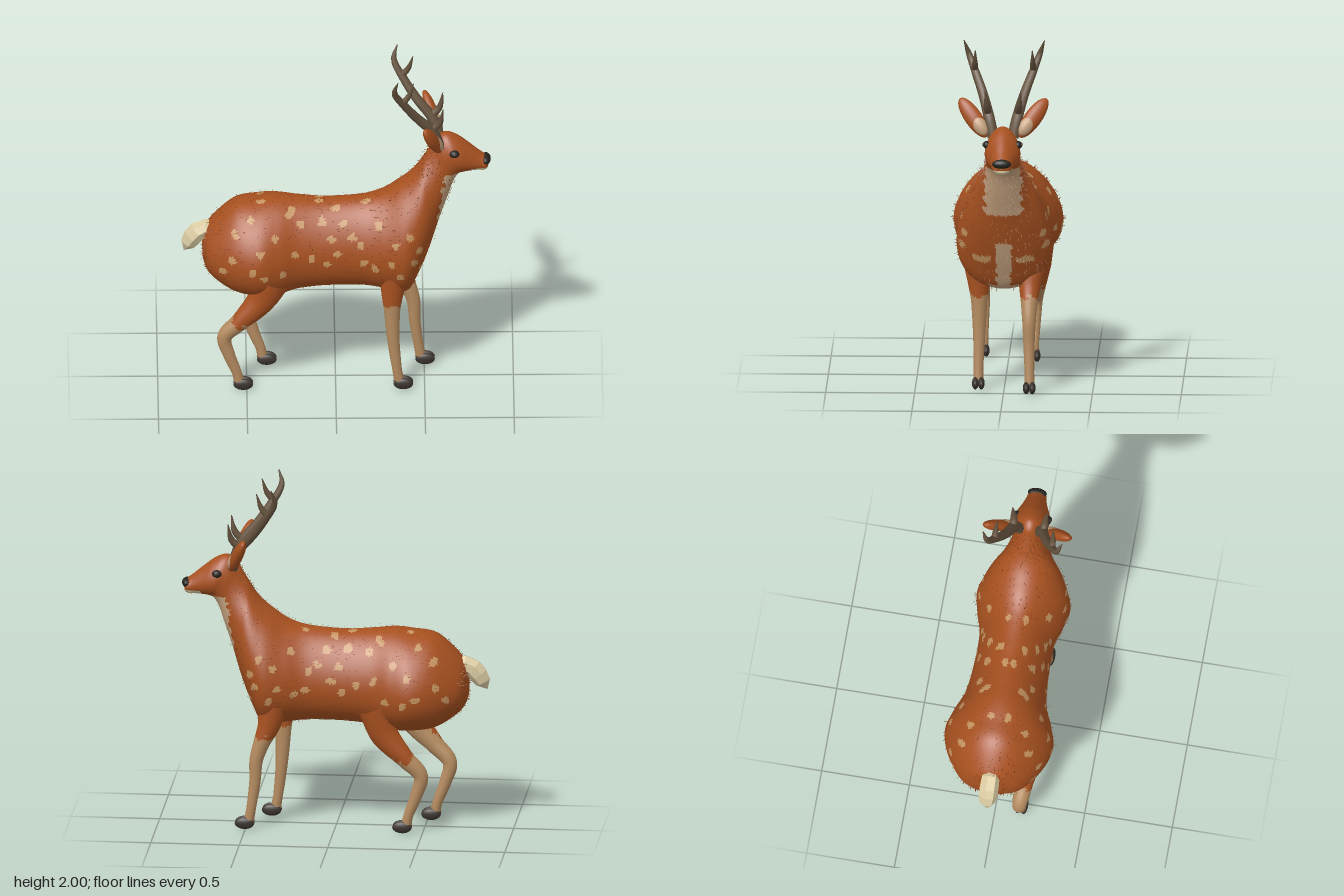
import * as THREE from 'three';

const mat = (name, color, side = THREE.FrontSide) => Object.assign(new THREE.MeshStandardMaterial({ color, side }), { name });
const coat = mat('russetCoat', 0xa6501f);
const tan = mat('tanLeg', 0xb38a5f);
const spot = mat('paleSpot', 0xc4935f);
const pale = mat('paleThroat', 0xc2a07c);
const cream = mat('cream', 0xdacba2);
const antlerMat = mat('antlerBrown', 0x66533f);
const hoofMat = mat('hoofCharcoal', 0x3b342f);
const dark = mat('noseBlack', 0x26231f);
const furMat = mat('furBrown', 0x7d3d19, THREE.DoubleSide);

// body sections: top x, top y, bottom x, bottom y, half width
const SECTIONS = [
  [-.75, .87, -.75, .84, .005], [-.738, .94, -.742, .76, .08], [-.70, 1.01, -.70, .685, .17],
  [-.57, 1.125, -.575, .60, .262], [-.44, 1.15, -.44, .575, .303], [-.33, 1.16, -.32, .575, .275],
  [-.21, 1.15, -.21, .60, .23], [-.05, 1.14, -.05, .615, .21], [.15, 1.155, .15, .615, .208],
  [.27, 1.19, .28, .60, .24], [.36, 1.25, .40, .585, .262], [.42, 1.30, .47, .70, .235],
  [.465, 1.355, .535, .87, .19], [.49, 1.40, .585, 1.03, .14], [.515, 1.44, .63, 1.16, .108],
  [.54, 1.485, .66, 1.25, .094], [.57, 1.535, .69, 1.305, .095], [.62, 1.56, .72, 1.32, .098],
  [.68, 1.54, .75, 1.325, .088], [.74, 1.497, .785, 1.327, .07], [.80, 1.447, .82, 1.33, .056],
  [.845, 1.41, .85, 1.335, .046], [.862, 1.375, .862, 1.365, .004]];
const topCurve = new THREE.CatmullRomCurve3(SECTIONS.map(s => new THREE.Vector3(s[0], s[1], s[4])), false, 'catmullrom');
const lowCurve = new THREE.CatmullRomCurve3(SECTIONS.map(s => new THREE.Vector3(s[2], s[3], 0)), false, 'catmullrom');

// point on the hide: u runs rump to nose, a runs around from the spine towards +z
function hide(u, a) {
  const t = topCurve.getPoint(u), b = lowCurve.getPoint(u), k = (1 + Math.cos(a)) / 2;
  return new THREE.Vector3(b.x + (t.x - b.x) * k, b.y + (t.y - b.y) * k,
    Math.max(t.z, .003) * Math.sin(a) * (1 - .2 * Math.cos(a)));
}

// irregular edge for the markings
const ragged = p => .5 * Math.sin(p.x * 97 + p.y * 61) + .5 * Math.sin(p.y * 113 - p.z * 89 + 2);

// sort triangles into material groups with a rule on each triangle's centre
function paint(geo, materials, rule) {
  const idx = geo.index.array, pos = geo.attributes.position, bins = materials.map(() => []);
  const c = new THREE.Vector3(), v = new THREE.Vector3();
  for (let i = 0; i < idx.length; i += 3) {
    c.set(0, 0, 0);
    for (let j = 0; j < 3; j++) c.addScaledVector(v.fromBufferAttribute(pos, idx[i + j]), 1 / 3);
    bins[rule(c)].push(idx[i], idx[i + 1], idx[i + 2]);
  }
  geo.setIndex(bins.flat());
  geo.clearGroups();
  let start = 0;
  bins.forEach((b, m) => { geo.addGroup(start, b.length, m); start += b.length; });
  return geo;
}

// tapered tube through points of x, y, z, radius
function limb(pts, sides, steps) {
  const curve = new THREE.CatmullRomCurve3(pts.map(p => new THREE.Vector3(p[0], p[1], p[2])));
  const geo = new THREE.TubeGeometry(curve, steps, 1, sides), pos = geo.attributes.position;
  const v = new THREE.Vector3();
  for (let i = 0; i <= steps; i++) {
    const c = curve.getPointAt(i / steps), f = curve.getUtoTmapping(i / steps) * (pts.length - 1);
    const n = Math.min(Math.floor(f), pts.length - 2);
    const r = THREE.MathUtils.lerp(pts[n][3], pts[n + 1][3], f - n);
    for (let j = 0; j <= sides; j++) {
      const k = i * (sides + 1) + j;
      v.fromBufferAttribute(pos, k).sub(c).multiplyScalar(r).add(c);
      pos.setXYZ(k, v.x, v.y, v.z);
    }
  }
  return geo;
}

// flank spots as x, y and back spots as x, z; both are mirrored
const FLANK = [[-.42, .93], [-.34, 1], [-.47, .82], [-.4, .78], [-.23, .9], [-.2, 1.05], [-.08, 1.06],
  [-.03, .97], [.04, 1.05], [.09, .98], [.01, .89], [-.05, .83], [-.13, .87], [.22, .81], [.14, .94],
  [.34, .96], [.31, .84], [.36, .77], [.44, .85], [.24, 1.05], [.16, .84], [-.26, 1.1], [-.57, 1.01],
  [.42, 1.01], [.47, .92], [-.58, .88], [.48, .77], [-.64, .8], [-.3, .79]];
const BACK = [[-.42, .05], [-.48, .16], [-.09, .02], [0, .07], [.17, .05], [-.25, .1]];

function markings(p) {
  const z = Math.abs(p.z), n = ragged(p);
  if (p.x > .76 && p.y < 1.355) return 3;
  // throat, chest and belly
  const front = .39 + (p.y - .585) * .41;
  if (p.y > 1.04 && p.y < 1.33 && p.x < .77 && p.x > front - .085 + n * .02 && z < .105 + n * .015) return 2;
  if (p.y < .87 && p.x > .38 && p.x > front - .11 && z < .042 + n * .012) return 2;
  if (p.y < .66 && p.x > -.5 && p.x < .42 && z < .085 + n * .02) return 2;
  const r = .021 + .007 * n;
  if (z > .07 && p.y < 1.12 && FLANK.some(s => Math.hypot(p.x - s[0], p.y - s[1]) < r)) return 1;
  if (p.y > 1.07 && BACK.some(s => Math.hypot(p.x - s[0], z - s[1]) < r)) return 1;
  return 0;
}

function bodyGeometry(nu = 230, na = 112) {
  const pos = [], idx = [];
  for (let i = 0; i <= nu; i++) for (let j = 0; j < na; j++) pos.push(...hide(i / nu, j / na * Math.PI * 2).toArray());
  for (let i = 0; i < nu; i++) for (let j = 0; j < na; j++) {
    const a = i * na + j, b = i * na + (j + 1) % na;
    idx.push(a, b, a + na, b, b + na, a + na);
  }
  const geo = new THREE.BufferGeometry();
  geo.setAttribute('position', new THREE.Float32BufferAttribute(pos, 3));
  geo.setIndex(idx);
  geo.computeVertexNormals();
  return paint(geo, [coat, spot, pale, cream], markings);
}

// short hairs swept backwards over the torso and neck
function furGeometry(count = 1700) {
  let seed = 7;
  const rnd = () => (seed = (seed * 16807) % 2147483647) / 2147483647;
  const pos = [];
  for (let i = 0; i < count; i++) {
    const u = .04 + rnd() * .66, a = rnd() * Math.PI * 2, p = hide(u, a);
    const du = hide(u + .002, a).sub(p), da = hide(u, a + .01).sub(p);
    const n = da.clone().cross(du).normalize();
    const side = da.normalize().multiplyScalar(.0018);
    const tip = p.clone().addScaledVector(n, .012 + rnd() * .012).addScaledVector(du.normalize(), -.012);
    pos.push(...p.clone().sub(side).toArray(), ...p.clone().add(side).toArray(), ...tip.toArray());
  }
  const geo = new THREE.BufferGeometry();
  geo.setAttribute('position', new THREE.Float32BufferAttribute(pos, 3));
  geo.computeVertexNormals();
  return geo;
}

export function createModel() {
  const model = new THREE.Group();
  model.name = 'deer';
  const add = (name, geo, material, parent = model) => {
    const m = new THREE.Mesh(geo, material);
    m.name = name;
    parent.add(m);
    return m;
  };
  const ball = (name, material, at, size, parent = model, w = 18, h = 12) => {
    const m = add(name, new THREE.SphereGeometry(1, w, h), material, parent);
    m.position.set(...at);
    m.scale.set(...size);
    return m;
  };

  add('body', bodyGeometry(), [coat, spot, pale, cream]);
  add('fur', furGeometry(), furMat);

  // legs: each stands at its own stride
  const leg = (name, pts, hoofX, rear) => {
    const g = new THREE.Group(), s = Math.sign(pts[0][2]);
    g.name = name;
    const rule = p => {
      const outward = p.z * s - .15, edge = rear ? .49 - outward * 1.2 : .535;
      return p.y > edge + ragged(p) * .025 ? 0 : 1;
    };
    add(name + 'Limb', paint(limb(pts, 20, 48), [coat, tan], rule), [coat, tan], g);
    for (const t of [-1, 1]) ball('hoofToe', hoofMat, [hoofX, .035, s * .145 + t * .017], [.055, .034, .019], g);
    model.add(g);
  };
  leg('leftFrontLeg', [[.33, .76, .15, .09], [.32, .62, .145, .065], [.317, .5, .142, .046], [.325, .3, .142, .034],
    [.345, .12, .145, .027], [.358, .04, .145, .029]], .38);
  leg('rightFrontLeg', [[.34, .74, -.15, .09], [.37, .6, -.145, .062], [.41, .5, -.142, .046], [.44, .4, -.142, .038],
    [.447, .28, -.142, .032], [.468, .12, -.145, .027], [.482, .04, -.145, .029]], .505);
  const hind = [[-.36, .74, .175, .12], [-.42, .58, .165, .08], [-.535, .44, .16, .052], [-.625, .335, .15, .041],
    [-.6, .22, .147, .034], [-.555, .1, .145, .027], [-.542, .04, .145, .03]];
  leg('leftHindLeg', hind, -.52, true);
  leg('rightHindLeg', hind.map(([x, y, z, r]) => [x + .135, y, -z, r * (y > .7 ? .75 : 1)]), -.385, true);

  // faceted tail
  const tail = limb([[-.68, .95, 0, .045], [-.745, .95, 0, .055], [-.8, .90, 0, .056], [-.845, .825, 0, .036],
    [-.853, .812, 0, .001]], 7, 5).toNonIndexed();
  tail.computeVertexNormals();
  add('tail', tail, cream);

  // muzzle
  ball('nose', dark, [.845, 1.39, 0], [.028, .027, .054]);
  ball('chin', cream, [.82, 1.347, 0], [.04, .02, .046]);

  // paired head parts
  for (const s of [1, -1]) {
    const side = s > 0 ? 'left' : 'right';
    ball(side + 'Eye', dark, [.668, 1.465, s * .088], [.028, .022, .022]);
    ball(side + 'Pupil', hoofMat, [.67, 1.467, s * .106], [.014, .012, .007]);

    // ear: a leaf along its own y axis with a pale lining on the front
    const ear = new THREE.Group();
    ear.name = side + 'Ear';
    ear.position.set(.545, 1.595, s * .168);
    ear.quaternion.setFromUnitVectors(new THREE.Vector3(0, 1, 0), new THREE.Vector3(-.09, .2, s * .15).normalize());
    ball('earShell', coat, [0, 0, 0], [.033, .135, .05], ear);
    ball('earLining', pale, [.008, -.055, -s * .004], [.028, .07, .04], ear);
    model.add(ear);

    // antler with a brow tine and a forked tip
    const antler = new THREE.Group();
    antler.name = side + 'Antler';
    const tine = (name, pts) => add(name, limb(pts.map(([x, y, z, r]) => [x, y, z * s, r]), 8, 24), antlerMat, antler);
    tine('beam', [[.585, 1.49, .055, .032], [.55, 1.6, .08, .031], [.46, 1.71, .115, .027], [.39, 1.81, .155, .024],
      [.33, 1.92, .2, .017], [.35, 2, .227, .002]]);
    tine('browTine', [[.54, 1.62, .085, .024], [.585, 1.67, .09, .019], [.605, 1.76, .1, .002]]);
    tine('forkTine', [[.37, 1.83, .165, .02], [.41, 1.88, .163, .016], [.438, 1.96, .16, .002]]);
    model.add(antler);
  }
  return model;
}
